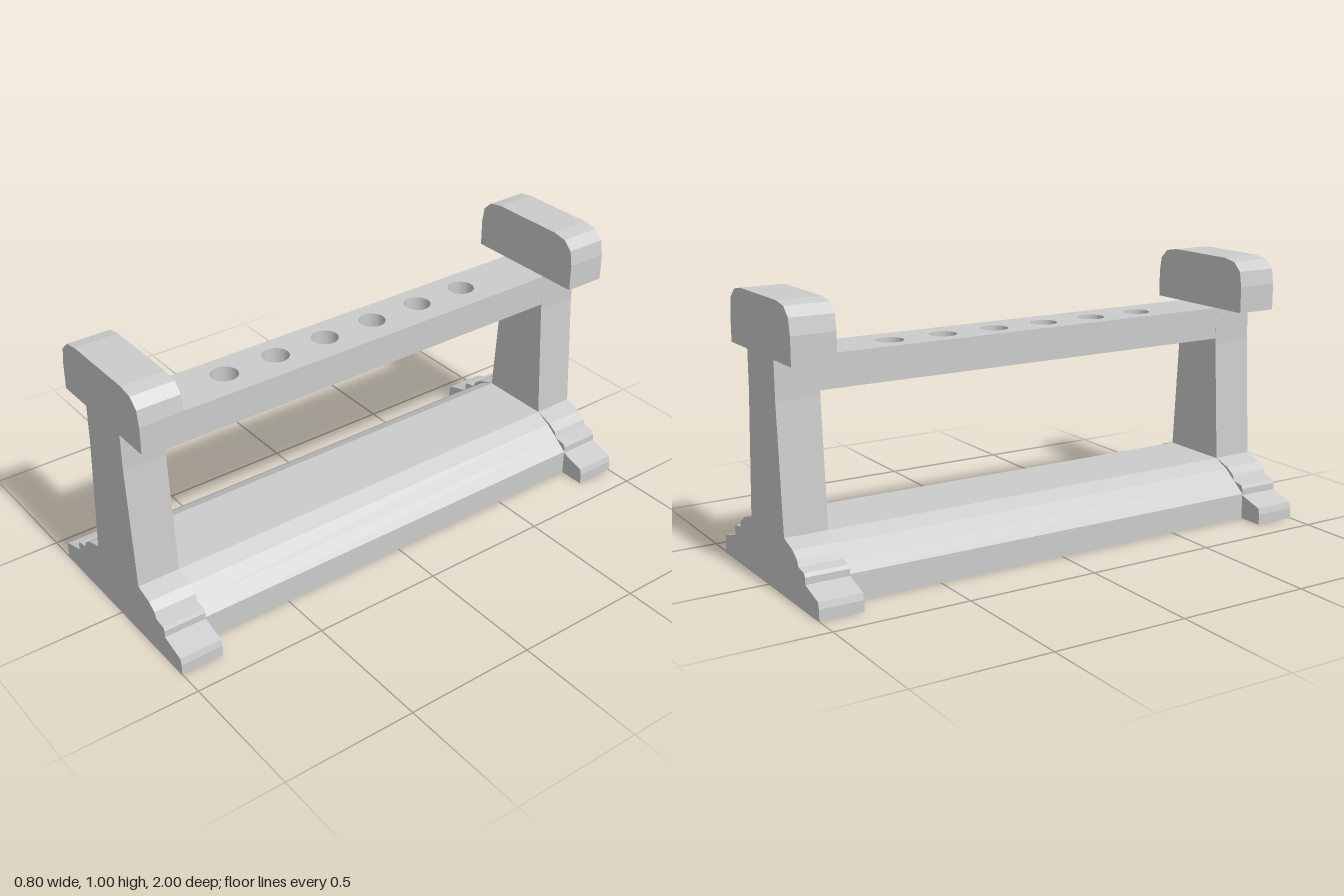
import * as THREE from 'three';

const material = new THREE.MeshStandardMaterial({ color: 0xcccccc, flatShading: true });

// Closed outline mirrored across x = 0, from right-hand points listed bottom to top
function mirroredShape(half) {
  const right = half.map(([x, y]) => new THREE.Vector2(x, y));
  const left = half.map(([x, y]) => new THREE.Vector2(-x, y)).reverse();
  return new THREE.Shape([...right, ...left]);
}

function extrude(name, shape, depth) {
  const geometry = new THREE.ExtrudeGeometry(shape, { depth, bevelEnabled: false, curveSegments: 14 });
  const mesh = new THREE.Mesh(geometry, material);
  mesh.name = name;
  return mesh;
}

export function createModel() {
  const model = new THREE.Group();
  model.name = 'tubeRack';
  const innerZ = 0.84, thickness = 0.16;

  // End supports: stepped foot, tapered post and rounded head in one outline
  const support = mirroredShape([
    [0.4, 0], [0.4, 0.04], [0.394, 0.064], [0.3, 0.092], [0.3, 0.117], [0.293, 0.13],
    [0.25, 0.137], [0.24, 0.16], [0.207, 0.183], [0.14, 0.205],
    [0.111, 0.66], [0.11, 0.8], [0.25, 0.8], [0.25, 0.9], [0.24, 0.957],
    [0.205, 0.99], [0.15, 1],
  ]);
  for (const [name, z] of [['frontSupport', innerZ], ['backSupport', -1]]) {
    const end = extrude(name, support, thickness);
    end.position.z = z;
    model.add(end);
  }

  // Long base with sloping shoulders
  const base = extrude('base', mirroredShape([
    [0.3, 0], [0.3, 0.098], [0.25, 0.137], [0.2, 0.175], [0.14, 0.204],
  ]), innerZ * 2);
  base.position.z = -innerZ;
  model.add(base);

  // Upper rail with a row of through holes
  const railShape = mirroredShape([[0.11, -innerZ], [0.11, innerZ]]);
  for (let i = 0; i < 6; i++) {
    const hole = new THREE.Path();
    hole.absarc(-0.01, (i - 2.5) * 0.211, 0.05, 0, Math.PI * 2, true);
    railShape.holes.push(hole);
  }
  const rail = extrude('rail', railShape, 0.12);
  rail.rotation.x = -Math.PI / 2;
  rail.position.y = 0.68;
  model.add(rail);

  return model;
}
